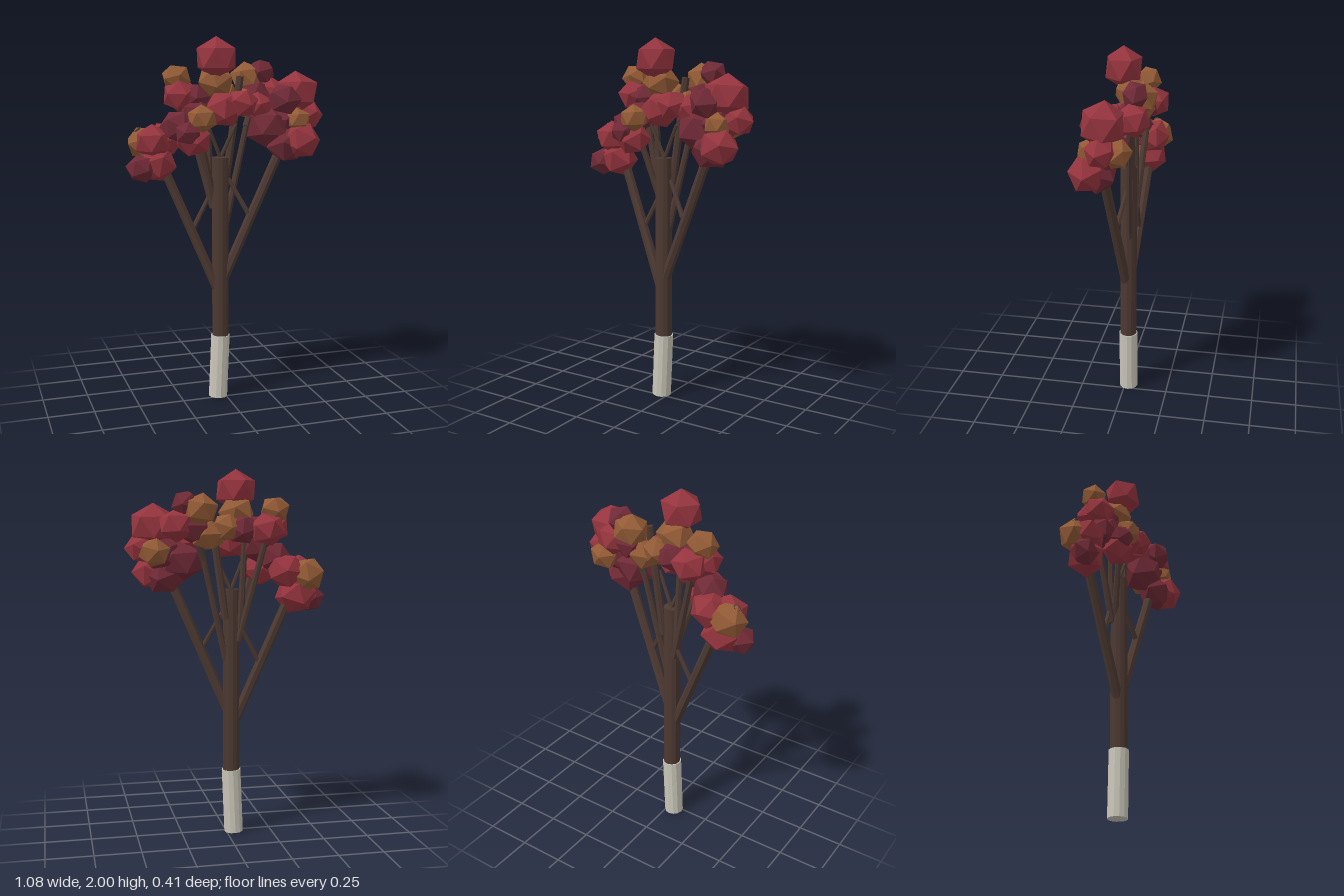
import * as THREE from 'three';

const mat = (color) => new THREE.MeshStandardMaterial({ color, flatShading: true });

export function createModel() {
  const tree = new THREE.Group();
  tree.name = 'autumnTree';
  const bark = mat(0x4d3932), paint = mat(0xc9c5b8);
  const red = mat(0x95343e), darkRed = mat(0x702a36), orange = mat(0x935b36);

  // Tapered cylinder between two points
  const limb = (name, a, b, r0, r1, material = bark, sides = 7) => {
    const from = new THREE.Vector3(...a), dir = new THREE.Vector3(...b).sub(from);
    const mesh = new THREE.Mesh(new THREE.CylinderGeometry(r1, r0, dir.length(), sides), material);
    mesh.position.copy(from).addScaledVector(dir, 0.5);
    mesh.quaternion.setFromUnitVectors(new THREE.Vector3(0, 1, 0), dir.normalize());
    mesh.name = name;
    tree.add(mesh);
  };

  // Trunk with its painted foot
  limb('trunk', [-0.027, 0.33, -0.022], [-0.027, 1.36, -0.022], 0.047, 0.046, bark, 12);
  limb('paintedBase', [-0.042, 0.002, -0.022], [-0.027, 0.36, -0.022], 0.053, 0.053, paint, 12);

  // Main forks, each with a crossing twig
  limb('leftFork', [-0.045, 0.63, -0.02], [-0.34, 1.34, -0.09], 0.028, 0.026);
  limb('leftForkTip', [-0.34, 1.34, -0.09], [-0.465, 1.515, -0.11], 0.02, 0.02);
  limb('leftTwig', [-0.17, 0.97, -0.055], [-0.07, 1.16, -0.06], 0.014, 0.012);
  limb('rightFork', [-0.005, 0.7, -0.01], [0.3, 1.42, 0.05], 0.028, 0.026);
  limb('rightForkTip', [0.3, 1.42, 0.05], [0.4, 1.68, 0.03], 0.02, 0.014);
  limb('rightTwig', [0.12, 1.05, 0.02], [0.02, 1.24, -0.02], 0.014, 0.012);

  // Upper branches: start, end
  const branches = [
    [[0.0, 0.96, -0.03], [0.13, 1.52, -0.05]],
    [[0.13, 1.52, -0.05], [0.23, 1.8, -0.1]],
    [[-0.05, 1.1, -0.04], [-0.16, 1.5, 0.03]],
    [[-0.06, 1.08, -0.05], [-0.22, 1.72, -0.11]],
    [[-0.07, 1.15, -0.05], [-0.1, 1.76, -0.05]],
  ];
  for (const [a, b] of branches) limb('branch', a, b, 0.02, 0.016);
  limb('bareBranch', [0.01, 1.2, -0.05], [0.095, 1.79, -0.05], 0.022, 0.021);
  for (const s of [-1, 1]) {
    limb('topTwig', [-0.025 - s * 0.015, 1.32, -0.03], [-0.02 + s * 0.08, 1.54, -0.01], 0.012, 0.009);
  }

  // Leaf clumps, a little wider than deep: x, y, z, radius
  let turn = 0;
  const addClumps = (material, list) => {
    for (const [x, y, z, r] of list) {
      turn++;
      const ball = new THREE.IcosahedronGeometry(r, 0);
      ball.rotateX(turn * 1.3).rotateY(turn * 2.1).rotateZ(turn * 0.7).scale(1.12, 1, 0.98);
      const clump = new THREE.Mesh(ball, material);
      clump.position.set(x, y, z);
      clump.name = 'leafClump';
      tree.add(clump);
    }
  };
  addClumps(red, [
    [-0.02, 1.62, 0.02, 0.1], [0.075, 1.65, 0.05, 0.082], // crown
    [-0.24, 1.69, -0.06, 0.088], [-0.2, 1.68, -0.13, 0.09], [-0.19, 1.46, 0.03, 0.092], // left
    [-0.39, 1.45, -0.06, 0.095], [-0.31, 1.46, -0.11, 0.097], [-0.37, 1.33, -0.08, 0.105], // low left
    [0.28, 1.7, -0.1, 0.09], [0.17, 1.63, 0.02, 0.083], [0.385, 1.7, 0.03, 0.12], // right
    [0.45, 1.58, 0.03, 0.084], [0.385, 1.45, 0.11, 0.102],
  ]);
  addClumps(darkRed, [
    [-0.07, 1.68, -0.09, 0.083], [-0.16, 1.68, -0.05, 0.08], // crown
    [-0.16, 1.59, -0.02, 0.088], [-0.26, 1.53, -0.03, 0.09], [-0.23, 1.5, 0.07, 0.068], // left
    [-0.455, 1.31, -0.05, 0.078],
    [0.23, 1.81, -0.1, 0.074], [0.19, 1.69, -0.08, 0.088], [0.3, 1.67, 0.085, 0.088], // right
    [0.23, 1.52, 0.03, 0.118], [0.34, 1.56, 0.03, 0.105], [0.32, 1.43, 0.07, 0.105],
  ]);
  addClumps(orange, [
    [-0.05, 1.765, -0.03, 0.095], [0.01, 1.69, -0.09, 0.078], [0.11, 1.65, -0.07, 0.088], // crown
    [-0.25, 1.785, -0.09, 0.075], [-0.155, 1.575, 0.075, 0.075], [-0.42, 1.44, -0.12, 0.095], // left
    [0.16, 1.78, -0.12, 0.09], [0.37, 1.56, 0.1, 0.066], [0.39, 1.56, -0.04, 0.08], // right
  ]);

  // Topmost clump, one corner straight up
  const top = new THREE.IcosahedronGeometry(0.113, 0).rotateZ(Math.atan(2 / (1 + Math.sqrt(5))));
  const topClump = new THREE.Mesh(top.scale(1.06, 1, 0.95), red);
  topClump.position.set(-0.058, 1.887, 0.01);
  topClump.name = 'topClump';
  tree.add(topClump);
  return tree;
}
